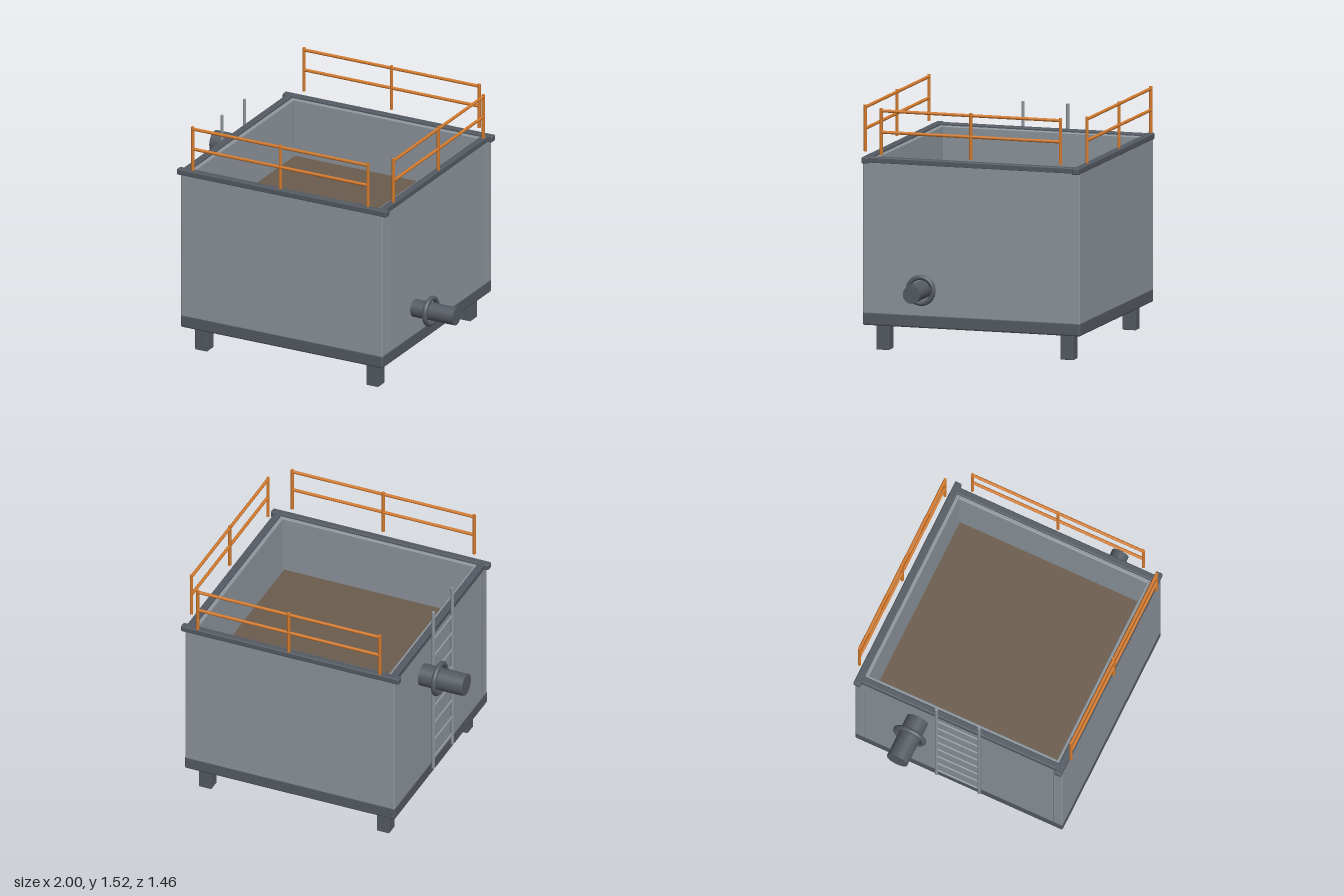
import * as THREE from 'three';
import { RoundedBoxGeometry } from 'three/addons/geometries/RoundedBoxGeometry.js';

const material = (color) => new THREE.MeshStandardMaterial({ color });
const wallGrey = material(0x8d959c);
const darkGrey = material(0x555b63);
const orange = material(0xd47a2c);
const brown = material(0x6b5c4c);

function add(parent, name, geometry, mat, x, y, z) {
  const mesh = new THREE.Mesh(geometry, mat);
  mesh.name = name;
  mesh.position.set(x, y, z);
  parent.add(mesh);
  return mesh;
}

// Box with softened edges, given by its size and centre
function softBox(parent, name, [w, h, d], [x, y, z], mat, radius = 0.008) {
  return add(parent, name, new RoundedBoxGeometry(w, h, d, 2, radius), mat, x, y, z);
}

// Round bar along one axis
function bar(parent, name, axis, radius, length, [x, y, z], mat, sides = 12) {
  const geometry = new THREE.CylinderGeometry(radius, radius, length, sides);
  if (axis === 'x') geometry.rotateZ(Math.PI / 2);
  if (axis === 'z') geometry.rotateX(Math.PI / 2);
  return add(parent, name, geometry, mat, x, y, z);
}

// Guard rail along x: three posts and two rails
function guardRail(name, halfLength) {
  const group = new THREE.Group();
  group.name = name;
  for (const x of [-halfLength, 0, halfLength]) {
    bar(group, 'railPost', 'y', 0.01, 0.29, [x, 1.373, 0], orange);
  }
  for (const y of [1.37, 1.503]) {
    bar(group, 'rail', 'x', 0.01, 2 * halfLength + 0.01, [0, y, 0], orange);
  }
  return group;
}

// Pipe stub along x with a ring flange
function pipe(name, side, radius, y, z) {
  const group = new THREE.Group();
  group.name = name;
  bar(group, 'pipeStub', 'x', radius, 0.32, [side * 0.84, y, z], darkGrey, 32);
  const ring = new THREE.TorusGeometry(radius + 0.025, 0.016, 12, 40);
  ring.rotateY(Math.PI / 2);
  add(group, 'flange', ring, darkGrey, side * 0.82, y, z);
  return group;
}

export function createModel() {
  const model = new THREE.Group();
  model.name = 'openTank';

  // Base slab and legs
  softBox(model, 'baseSlab', [1.414, 0.085, 1.414], [0, 0.2025, 0], darkGrey, 0.012);
  for (const x of [-1, 1]) {
    for (const z of [-1, 1]) {
      softBox(model, 'leg', [0.085, 0.18, 0.085], [x * 0.598, 0.09, z * 0.598], darkGrey, 0.005);
    }
  }

  // Walls and top rim, mirrored about both axes
  for (const s of [-1, 1]) {
    softBox(model, 'endWall', [1.41, 1.02, 0.065], [0, 0.685, s * 0.6725], wallGrey);
    softBox(model, 'sideWall', [0.065, 1.02, 1.29], [s * 0.6725, 0.685, 0], wallGrey);
    softBox(model, 'endRim', [1.465, 0.04, 0.046], [0, 1.19, s * 0.684], darkGrey);
    softBox(model, 'sideRim', [0.044, 0.04, 1.35], [s * 0.684, 1.19, 0], darkGrey);
  }

  // Contents of the tank
  add(model, 'sludge', new THREE.BoxGeometry(1.25, 0.59, 1.25), brown, 0, 0.535, 0);

  // Guard rails on the front, back and left
  for (const s of [-1, 1]) {
    const rail = guardRail(s > 0 ? 'frontGuardRail' : 'backGuardRail', 0.612);
    rail.position.z = s * 0.72;
    model.add(rail);
  }
  const sideRail = guardRail('leftGuardRail', 0.582);
  sideRail.rotation.y = Math.PI / 2;
  sideRail.position.x = 0.715;
  model.add(sideRail);

  // Inlet and outlet
  model.add(pipe('inletPipe', -1, 0.07, 0.98, -0.28));
  model.add(pipe('outletPipe', 1, 0.056, 0.415, 0.29));

  // Ladder on the right wall
  const ladder = new THREE.Group();
  ladder.name = 'ladder';
  for (const z of [-0.145, 0.145]) {
    bar(ladder, 'ladderRail', 'y', 0.01, 1.16, [-0.718, 0.783, z], wallGrey);
  }
  for (let i = 0; i < 8; i++) {
    bar(ladder, 'rung', 'z', 0.008, 0.29, [-0.718, 0.28 + i * 0.125, 0], wallGrey);
  }
  model.add(ladder);

  return model;
}
